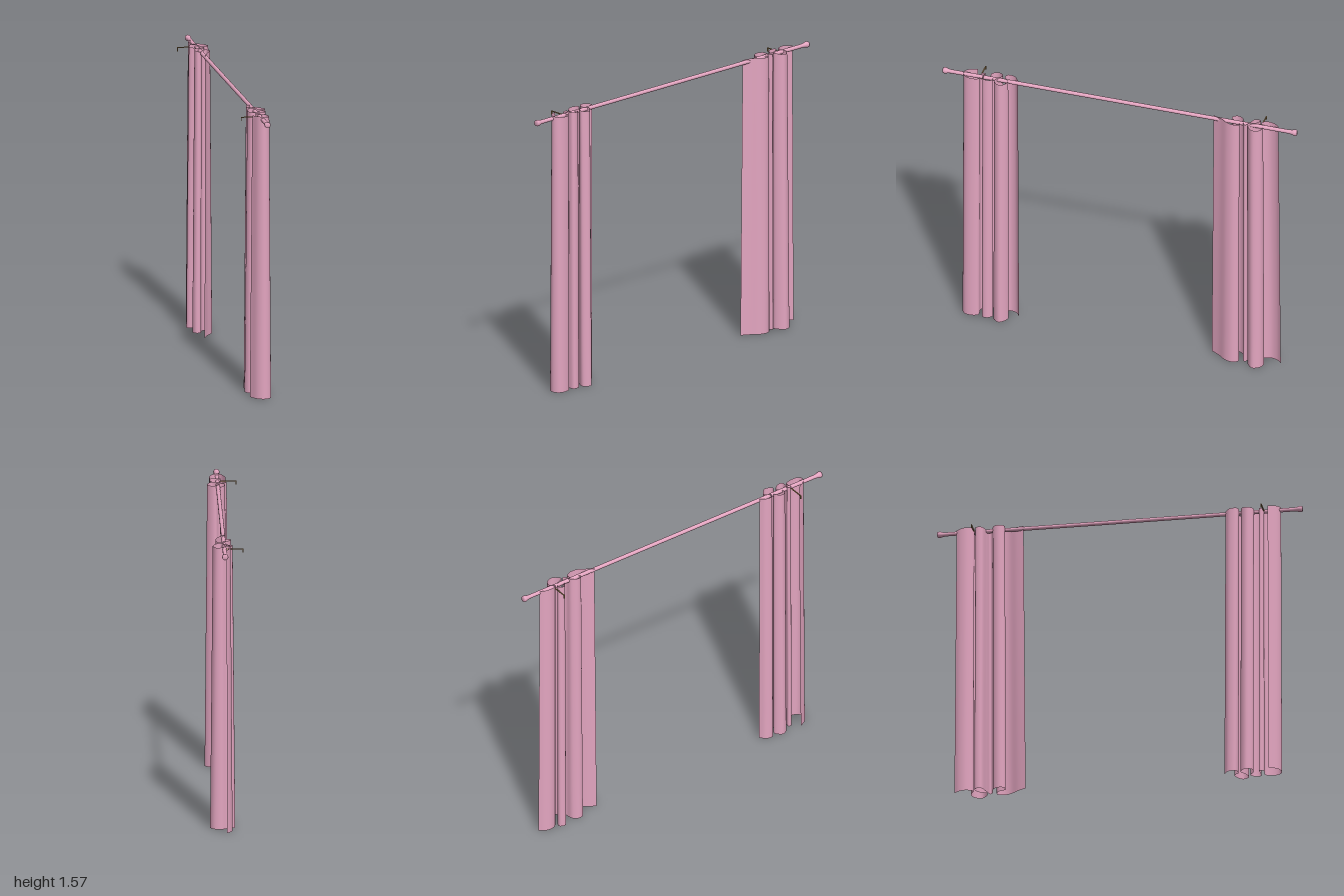
import * as THREE from 'three';

const pink = new THREE.MeshStandardMaterial({ color: 0xe3a5c0 });
const cloth = new THREE.MeshStandardMaterial({ color: 0xe3a5c0, side: THREE.DoubleSide });
const brass = new THREE.MeshStandardMaterial({ color: 0x9a7b4f });
const ROD_X = 0.013, ROD_Y = 1.557;

// Folded cloth: one pleat line [x, z], swept from the hem up to a slightly tighter heading
function curtain(name, points, centreZ, topScaleX, topScaleZ) {
  const curve = new THREE.CatmullRomCurve3(points.map(([x, z]) => new THREE.Vector3(x, 0, z)), false, 'centripetal');
  const across = 110, up = 8;
  const line = curve.getSpacedPoints(across);
  const geo = new THREE.PlaneGeometry(1, 1, across, up);
  const pos = geo.attributes.position;
  for (let j = 0; j <= up; j++) {
    const t = 1 - j / up;
    const sx = 1 + (topScaleX - 1) * t, sz = 1 + (topScaleZ - 1) * t;
    line.forEach((p, i) => {
      const y = 0.004 * (1 - t) + (1.57 + 0.005 * Math.sin(i * 0.2)) * t;
      pos.setXYZ(j * (across + 1) + i, 0.02 + (p.x - 0.02) * sx, y, centreZ + (p.z - centreZ) * sz);
    });
  }
  geo.computeVertexNormals();
  const mesh = new THREE.Mesh(geo, cloth);
  mesh.name = name;
  return mesh;
}

export function createModel() {
  const group = new THREE.Group();

  // Rod along z with flared, stepped ends
  const profile = [[0, -1], [0.014, -1], [0.017, -0.994], [0.017, -0.984], [0.013, -0.972], [0.011, -0.955],
    [0.011, 0.955], [0.013, 0.972], [0.017, 0.984], [0.017, 0.994], [0.014, 1], [0, 1]];
  const rod = new THREE.Mesh(new THREE.LatheGeometry(profile.map(([r, y]) => new THREE.Vector2(r, y)), 20), pink);
  rod.name = 'curtainRod';
  rod.rotation.x = Math.PI / 2;
  rod.position.set(ROD_X, ROD_Y, 0);
  group.add(rod);

  // Thin wall hooks: an arm behind the rod with a short drop
  for (const z of [-0.797, 0.79]) {
    const hook = new THREE.Group();
    hook.name = 'wallHook';
    const arm = new THREE.Mesh(new THREE.BoxGeometry(0.104, 0.004, 0.006), brass);
    arm.name = 'hookArm';
    arm.position.set(-0.038, 1.556, z);
    const drop = new THREE.Mesh(new THREE.BoxGeometry(0.004, 0.022, 0.006), brass);
    drop.name = 'hookDrop';
    drop.position.set(-0.088, 1.547, z);
    hook.add(arm, drop);
    group.add(hook);
  }

  // Front curtain, gathered into tight omega folds
  group.add(curtain('frontCurtain', [
    [0, 0.575], [-0.03, 0.6], [-0.035, 0.64], [0, 0.652], [0.025, 0.625], [0.06, 0.635], [0.085, 0.665],
    [0.06, 0.7], [0.025, 0.69], [-0.015, 0.665], [-0.05, 0.7], [-0.03, 0.735], [0.01, 0.73], [0.035, 0.71],
    [0.063, 0.735], [0.06, 0.765], [0.02, 0.77], [-0.01, 0.765], [-0.005, 0.79], [0.05, 0.79], [0.065, 0.83],
    [0.055, 0.87], [0.02, 0.886], [-0.015, 0.87], [-0.047, 0.82],
  ], 0.73, 0.79, 0.97));

  // Back curtain, with a flat leading edge
  group.add(curtain('backCurtain', [
    [0, -0.515], [0.025, -0.56], [0.06, -0.61], [0.067, -0.65], [0.05, -0.68], [0.02, -0.67], [0, -0.625],
    [-0.025, -0.625], [-0.037, -0.655], [-0.015, -0.69], [0.03, -0.7], [0.045, -0.715], [0.01, -0.73],
    [-0.045, -0.755], [-0.035, -0.79], [0.005, -0.775], [0.03, -0.73], [0.065, -0.74], [0.09, -0.77],
    [0.07, -0.81], [0.03, -0.82], [-0.01, -0.8], [-0.03, -0.84], [-0.02, -0.88], [0, -0.905],
  ], -0.71, 0.79, 0.94));

  return group;
}
